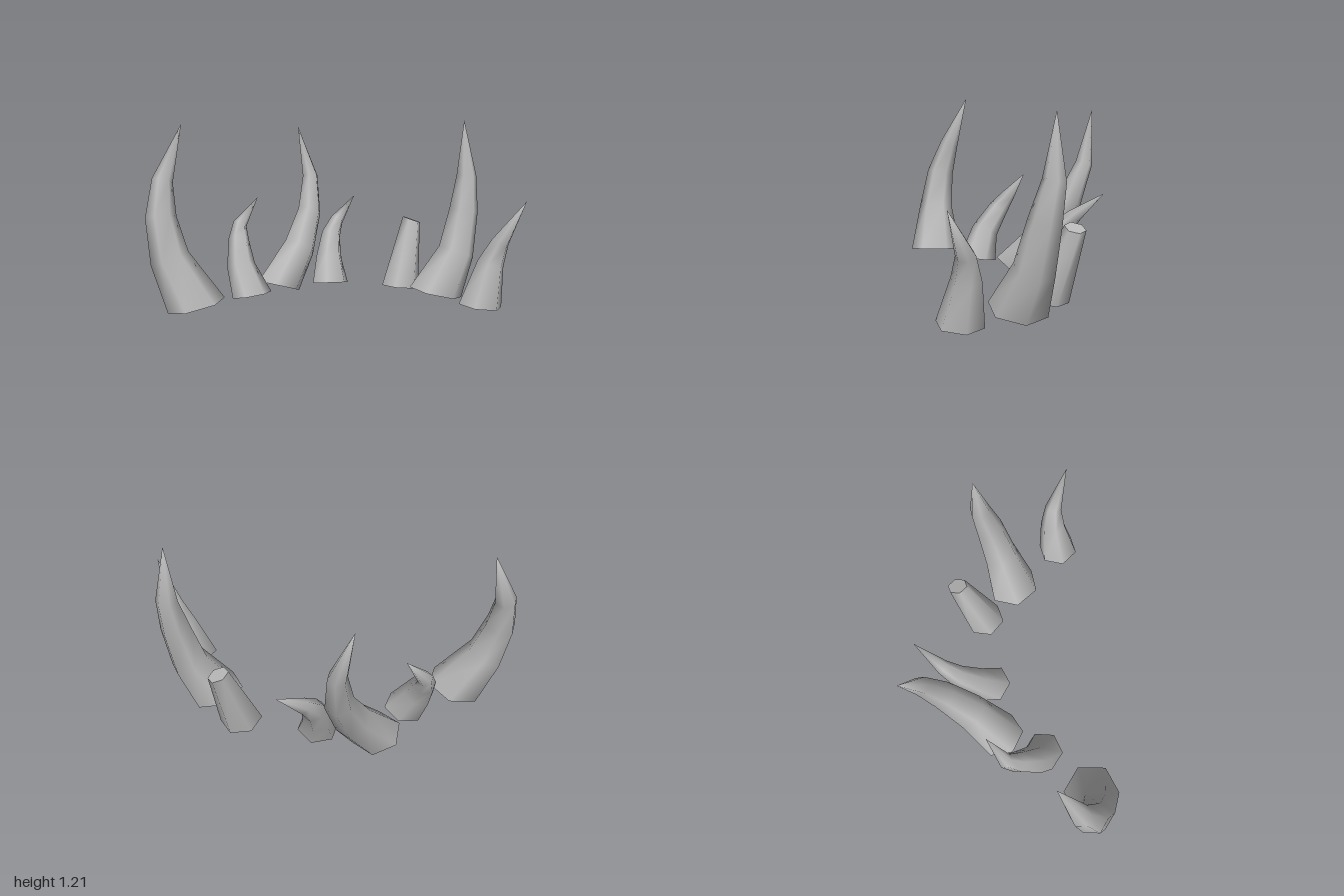
import * as THREE from 'three';

const SIDES = 6;
const UP = new THREE.Vector3(0, 1, 0);

// Each horn: turn of its hexagon in degrees, then rings of [x, y, z, radius] from root to tip
const HORNS = [
  { name: 'tallLeftHorn', turn: 30, rings: [[-0.67, 0.07, -0.68, 0.185], [-0.76, 0.37, -0.82, 0.125], [-0.765, 0.63, -0.89, 0.098], [-0.71, 0.855, -0.935, 0.067], [-0.55, 1.21, -0.93, 0]] },
  { name: 'smallBackHorn', turn: 33, rings: [[-0.255, 0.065, -0.61, 0.132], [-0.255, 0.255, -0.715, 0.095], [-0.19, 0.415, -0.805, 0.07], [-0.135, 0.51, -0.85, 0.048], [0.01, 0.685, -0.82, 0]] },
  { name: 'leaningBackHorn', turn: 25, rings: [[0.05, 0.06, -0.66, 0.157], [0.265, 0.3, -0.665, 0.118], [0.42, 0.55, -0.705, 0.088], [0.495, 0.8, -0.765, 0.058], [0.495, 1.16, -0.885, 0]] },
  { name: 'smallLeaningHorn', turn: 30, rings: [[0.295, 0.08, -0.39, 0.13], [0.36, 0.24, -0.46, 0.095], [0.45, 0.39, -0.52, 0.07], [0.54, 0.485, -0.54, 0.048], [0.735, 0.645, -0.537, 0]] },
  { name: 'brokenHorn', turn: 39, topNormal: [0.3, 1, 0.2], rings: [[0.6, 0.06, 0.0, 0.132], [0.76, 0.515, -0.025, 0.067]] },
  { name: 'tallRightHorn', turn: 46, rings: [[0.565, 0.077, 0.32, 0.18], [0.7, 0.345, 0.39, 0.123], [0.765, 0.625, 0.402, 0.098], [0.81, 0.855, 0.39, 0.068], [0.805, 1.227, 0.365, 0]] },
  { name: 'smallFrontHorn', turn: 43, rings: [[0.435, 0.09, 0.738, 0.138], [0.495, 0.355, 0.77, 0.087], [0.52, 0.495, 0.82, 0.057], [0.517, 0.765, 0.99, 0]] },
];

// Direction a ring faces: averaged along the horn, eased towards vertical at the root
function ringNormal(centres, i, topNormal) {
  const last = centres.length - 1;
  const step = (k) => centres[k + 1].clone().sub(centres[k]).normalize();
  if (i === 0) {
    const s = step(0);
    return s.divideScalar(s.y).lerp(UP, 0.6).normalize();
  }
  if (i === last) return topNormal ? new THREE.Vector3(...topNormal).normalize() : step(last - 1);
  return step(i - 1).add(step(i)).normalize();
}

function buildHorn({ name, turn, rings, topNormal }, material) {
  const group = new THREE.Group();
  group.name = name;
  const phase = THREE.MathUtils.degToRad(turn);
  const centres = rings.map(([x, y, z]) => new THREE.Vector3(x, y, z));
  const positions = [];
  const index = [];

  rings.forEach(([, , , radius], i) => {
    if (radius === 0) {
      positions.push(...centres[i].toArray());
      return;
    }
    const q = new THREE.Quaternion().setFromUnitVectors(UP, ringNormal(centres, i, topNormal));
    for (let s = 0; s < SIDES; s++) {
      const a = phase + (s / SIDES) * Math.PI * 2;
      const p = new THREE.Vector3(Math.cos(a) * radius, 0, Math.sin(a) * radius);
      positions.push(...p.applyQuaternion(q).add(centres[i]).toArray());
    }
  });

  for (let i = 0; i < rings.length - 1; i++) {
    const low = i * SIDES;
    const high = low + SIDES;
    for (let s = 0; s < SIDES; s++) {
      const n = (s + 1) % SIDES;
      if (rings[i + 1][3] === 0) index.push(low + s, high, low + n);
      else index.push(low + s, high + s, low + n, low + n, high + s, high + n);
    }
  }

  const geometry = new THREE.BufferGeometry();
  geometry.setAttribute('position', new THREE.Float32BufferAttribute(positions, 3));
  geometry.setIndex(index);
  geometry.computeVertexNormals();
  const shell = new THREE.Mesh(geometry, material);
  shell.name = name + 'Shell';
  group.add(shell);

  // Flat cut across a broken horn
  if (topNormal) {
    const last = rings.length - 1;
    const disc = new THREE.CircleGeometry(rings[last][3], SIDES, -phase).rotateX(-Math.PI / 2);
    const cap = new THREE.Mesh(disc, material);
    cap.name = name + 'Cap';
    cap.position.copy(centres[last]);
    cap.quaternion.setFromUnitVectors(UP, ringNormal(centres, last, topNormal));
    group.add(cap);
  }
  return group;
}

export function createModel() {
  const model = new THREE.Group();
  model.name = 'horns';
  // Horn roots are open, so both faces show
  const horn = new THREE.MeshStandardMaterial({ color: 0xb8b8b8, side: THREE.DoubleSide });
  horn.name = 'hornGrey';
  HORNS.forEach((spec) => model.add(buildHorn(spec, horn)));
  return model;
}
